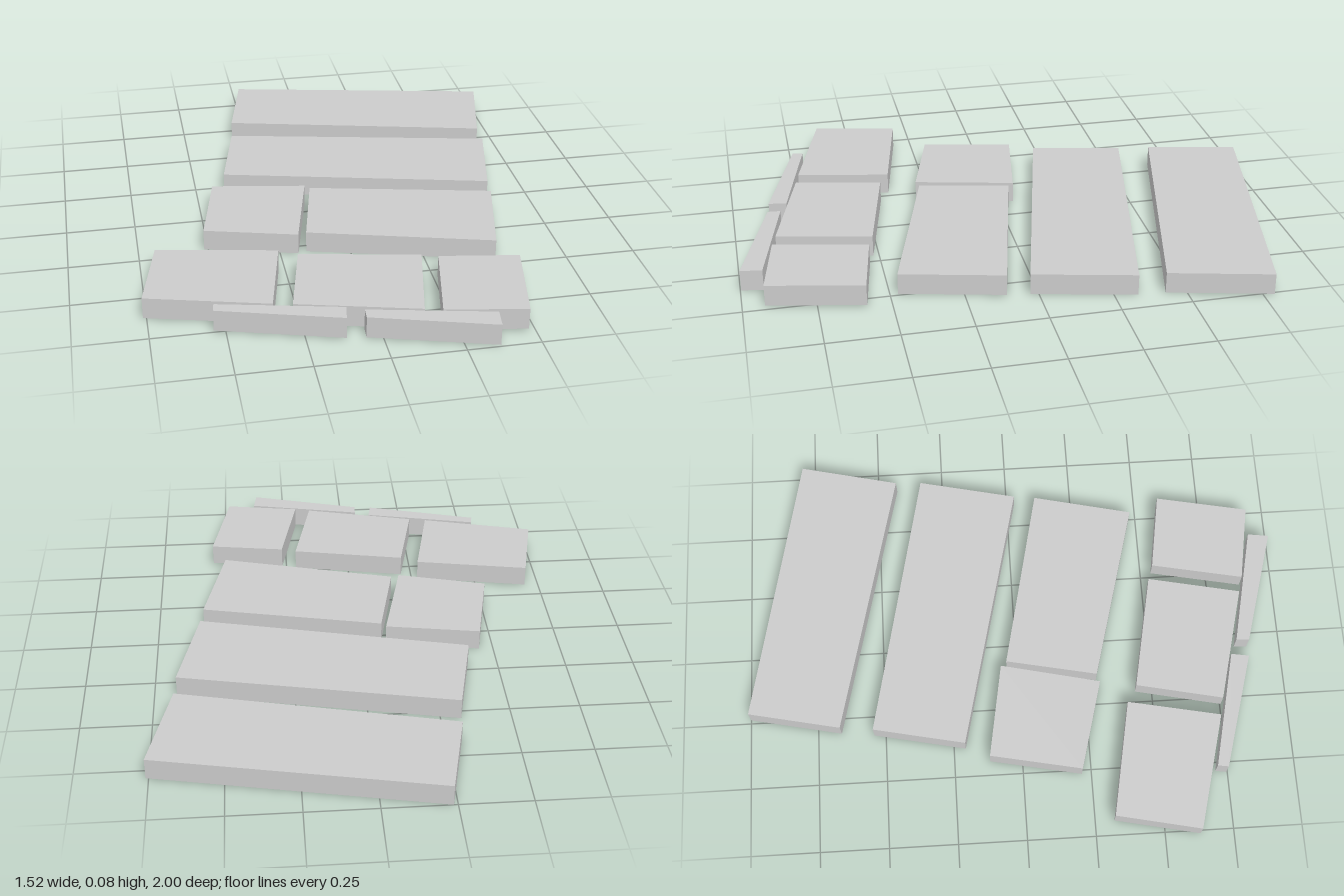
import * as THREE from 'three';

const material = new THREE.MeshStandardMaterial({ color: 0xcccccc, flatShading: true });
const THICKNESS = 0.077;

// Extrudes a four-cornered plan outline, given as [x, z] pairs, into a flat slab
function slab(name, corners) {
  const shape = new THREE.Shape(corners.map(([x, z]) => new THREE.Vector2(x, -z)));
  const geometry = new THREE.ExtrudeGeometry(shape, { depth: THICKNESS, bevelEnabled: false });
  geometry.rotateX(-Math.PI / 2);

  // The whole layout rises very slightly towards the front
  const p = geometry.attributes.position;
  for (let i = 0; i < p.count; i++) p.setY(i, p.getY(i) + 0.002 * (p.getZ(i) + 1));
  geometry.computeVertexNormals();

  const mesh = new THREE.Mesh(geometry, material);
  mesh.name = name;
  return mesh;
}

export function createModel() {
  const model = new THREE.Group();
  model.name = 'slabLayout';

  // Corners run back left, back right, front right, front left as seen from above
  const slabs = {
    // Two full-width slabs at the back
    backSlab: [[-0.236, -1], [0.76, -0.79], [0.675, -0.427], [-0.308, -0.664]],
    secondSlab: [[-0.322, -0.543], [0.67, -0.331], [0.589, 0.03], [-0.393, -0.207]],
    // Split middle row
    middleSmallSlab: [[-0.447, -0.119], [-0.103, -0.06], [-0.186, 0.304], [-0.515, 0.215]],
    middleLargeSlab: [[-0.087, -0.039], [0.579, 0.109], [0.495, 0.473], [-0.156, 0.294]],
    // Front row of three
    frontSlabA: [[-0.696, 0.32], [-0.272, 0.4], [-0.341, 0.739], [-0.762, 0.628]],
    frontSlabB: [[-0.209, 0.437], [0.212, 0.521], [0.141, 0.86], [-0.277, 0.753]],
    frontSlabC: [[0.267, 0.54], [0.547, 0.585], [0.479, 0.923], [0.199, 0.876]],
    // Narrow strips along the front edge
    frontStripA: [[-0.533, 0.706], [-0.108, 0.802], [-0.119, 0.867], [-0.539, 0.745]],
    frontStripB: [[-0.052, 0.828], [0.374, 0.92], [0.363, 0.997], [-0.055, 0.875]],
  };
  for (const [name, corners] of Object.entries(slabs)) model.add(slab(name, corners));
  return model;
}
